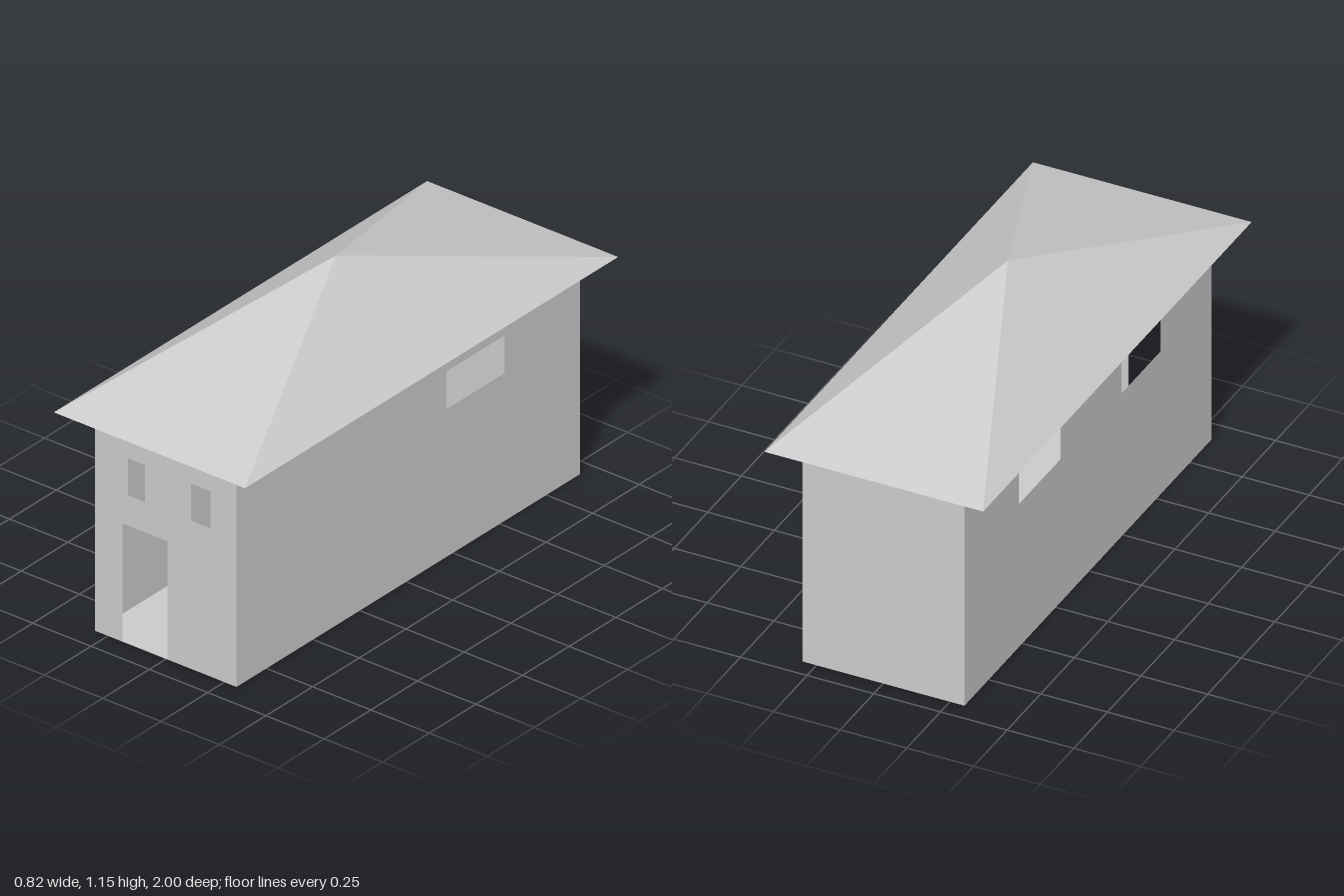
import * as THREE from 'three';

const material = new THREE.MeshStandardMaterial({ color: 0xcccccc, flatShading: true, side: THREE.DoubleSide });

const X0 = -0.305, X1 = 0.302;   // side walls
const Z0 = -0.93, Z1 = 0.91;     // back and front walls
const EAVES = 0.845, PEAK = 1.15;

function part(name, geometry) {
  const mesh = new THREE.Mesh(geometry, material);
  mesh.name = name;
  return mesh;
}

// Thin flat panel from u0 to u1 with rectangular openings [u0, u1, v0, v1]
function panel(name, u0, u1, v0, v1, openings = [], door = null) {
  const shape = new THREE.Shape().moveTo(u0, v0);
  if (door) {
    const [a, b, top] = door;
    shape.lineTo(a, v0).lineTo(a, top).lineTo(b, top).lineTo(b, v0);
  }
  shape.lineTo(u1, v0).lineTo(u1, v1).lineTo(u0, v1).closePath();
  for (const [a, b, c, d] of openings) {
    shape.holes.push(new THREE.Path().moveTo(a, c).lineTo(a, d).lineTo(b, d).lineTo(b, c).closePath());
  }
  return part(name, new THREE.ShapeGeometry(shape));
}

export function createModel() {
  const house = new THREE.Group();
  house.name = 'house';

  // Front wall with doorway and two small windows
  const front = panel('frontWall', X0, X1, 0, EAVES,
    [[-0.163, -0.09, 0.572, 0.715], [0.107, 0.19, 0.572, 0.715]], [-0.188, 0.006, 0.456]);
  front.position.z = Z1;

  // Plain back wall
  const back = panel('backWall', -X1, -X0, 0, EAVES);
  back.rotation.y = Math.PI;
  back.position.z = Z0;
  house.add(front, back);

  // Long side walls, each with two wide windows (z ranges)
  const windows = [[0.238, 0.528], [-0.525, -0.215]];
  for (const [name, x, s] of [['leftWall', X1, 1], ['rightWall', X0, -1]]) {
    const u = (a, b) => [-s * a, -s * b].sort((p, q) => p - q);
    const wall = panel(name, ...u(Z0, Z1), 0, EAVES, windows.map(([a, b]) => [...u(a, b), 0.57, 0.715]));
    wall.rotation.y = s * Math.PI / 2;
    wall.position.x = x;
    house.add(wall);
  }

  // Floor, facing down
  const floor = panel('floor', X0, X1, Z0, Z1);
  floor.rotation.x = Math.PI / 2;
  house.add(floor);

  // Closed four-sided pyramid roof with overhanging eaves
  const roofGeometry = new THREE.ConeGeometry(Math.SQRT2, PEAK - EAVES, 4).rotateY(Math.PI / 4).scale(0.41, 1, 1);
  const roof = part('roof', roofGeometry.toNonIndexed());
  roof.geometry.computeVertexNormals();
  roof.position.y = (EAVES + PEAK) / 2;
  house.add(roof);

  return house;
}
